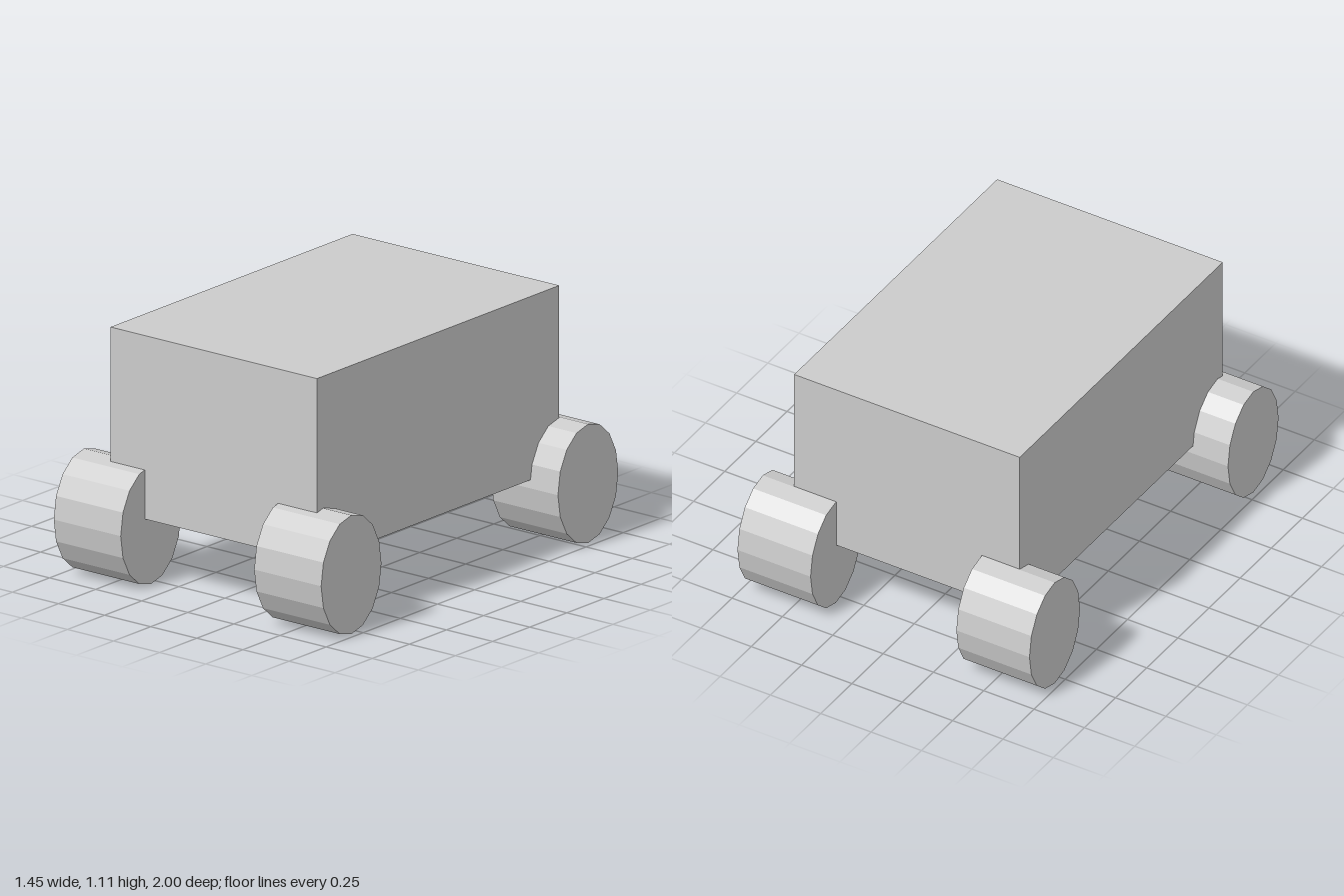
import * as THREE from 'three';

export function createModel() {
  const group = new THREE.Group();
  const material = new THREE.MeshStandardMaterial({ color: 0xcccccc, flatShading: true });

  // Box body, set slightly off centre
  const body = new THREE.Mesh(new THREE.BoxGeometry(1.12, 0.815, 1.63), material);
  body.name = 'body';
  body.position.set(0.01, 0.7075, 0.023);
  group.add(body);

  // Four 16-sided wheels, taller than they are deep
  const wheelGeometry = new THREE.CylinderGeometry(1, 1, 0.363, 16);
  wheelGeometry.rotateZ(Math.PI / 2);
  wheelGeometry.scale(1, 0.264, 0.203);
  for (const [end, z] of [['front', 0.797], ['back', -0.797]]) {
    for (const [side, x] of [['Left', 0.5415], ['Right', -0.5455]]) {
      const wheel = new THREE.Mesh(wheelGeometry, material);
      wheel.name = `${end}${side}Wheel`;
      wheel.position.set(x, 0.265, z);
      group.add(wheel);
    }
  }
  return group;
}
